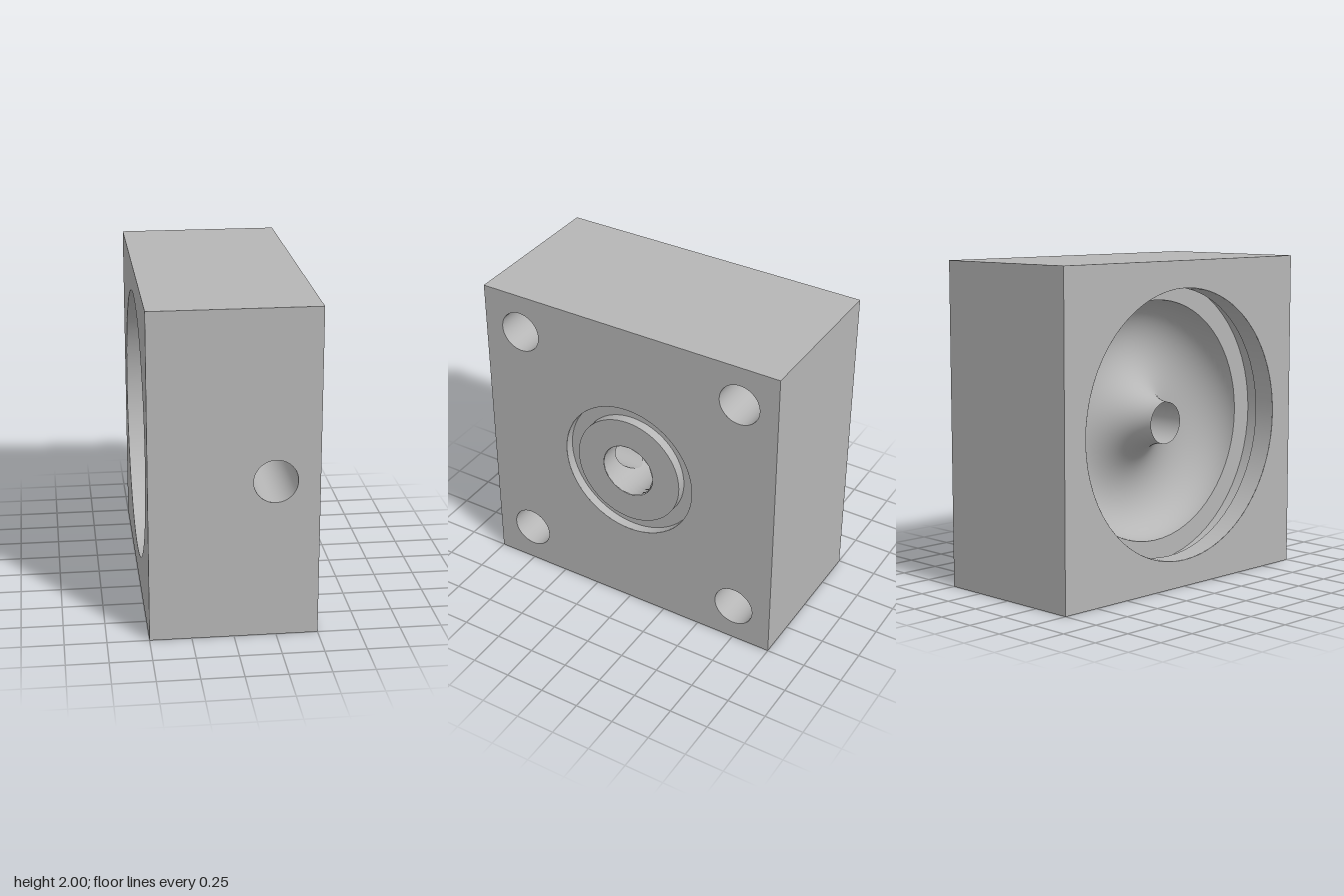
import * as THREE from 'three';
import { ParametricGeometry } from 'three/addons/geometries/ParametricGeometry.js';

const DRILL = 0.13;    // radius of bolt holes, bore and side port
const CHAMBER = 0.175; // radius of the central chamber
const PORT = { x: 0.24, y: -0.03 };

export function createModel() {
  const model = new THREE.Group();
  const block = new THREE.Group();
  block.name = 'housingBlock';
  block.position.y = 1;
  model.add(block);

  const metal = new THREE.MeshStandardMaterial({ color: 0xb6b6b6, side: THREE.DoubleSide });
  metal.name = 'grey metal';

  const add = (name, geometry) => {
    const mesh = new THREE.Mesh(geometry, metal);
    mesh.name = name;
    block.add(mesh);
    return mesh;
  };

  // Flat rectangular face with round holes given as [x, y, radius]
  const face = (name, w, h, holes = []) => {
    const s = new THREE.Shape();
    s.moveTo(-w / 2, -h / 2).lineTo(w / 2, -h / 2).lineTo(w / 2, h / 2).lineTo(-w / 2, h / 2).closePath();
    for (const [x, y, r] of holes) s.holes.push(new THREE.Path().absarc(x, y, r, 0, Math.PI * 2, true));
    return add(name, new THREE.ShapeGeometry(s, 64));
  };

  // Surface turned around the x axis from [radius, x] points
  const turn = (name, pts, y = 0, z = 0) => {
    const g = new THREE.LatheGeometry(pts.map(([r, x]) => new THREE.Vector2(r, x)), 64);
    g.rotateZ(-Math.PI / 2);
    add(name, g).position.set(0, y, z);
  };
  // The same with a sharp edge at every point
  const turnSharp = (name, pts, y, z) => {
    for (let i = 1; i < pts.length; i++) turn(name, [pts[i - 1], pts[i]], y, z);
  };

  // Outer faces
  const bolts = [[-0.75, -0.75], [0.75, -0.75], [0.75, 0.75], [-0.75, 0.75]];
  face('frontFace', 1, 2, [[PORT.x, PORT.y, DRILL]]).position.z = 1;
  const back = face('backFace', 1, 2);
  back.rotation.y = Math.PI;
  back.position.z = -1;
  const top = face('topFace', 1, 2);
  top.rotation.x = -Math.PI / 2;
  top.position.y = 1;
  const bottom = face('bottomFace', 1, 2);
  bottom.rotation.x = Math.PI / 2;
  bottom.position.y = -1;
  const mount = face('mountingFace', 2, 2, [[0, 0, 0.447], ...bolts.map(([z, y]) => [z, y, DRILL])]);
  mount.rotation.y = Math.PI / 2;
  mount.position.x = 0.5;
  const open = face('cavityFace', 2, 2, [[0, 0, 0.834]]);
  open.rotation.y = -Math.PI / 2;
  open.position.x = -0.5;

  // Blind bolt holes with drill points
  for (const [z, y] of bolts) turnSharp('boltHole', [[DRILL, 0.5], [DRILL, 0], [0, -0.075]], y, z);

  // Seal groove and the land inside it
  turnSharp('sealGroove', [[0.447, 0.5], [0.447, 0.44], [0.358, 0.44], [0.358, 0.5], [CHAMBER, 0.5]]);

  // Chamber floor and narrow bore up to the nozzle tip
  turnSharp('bore', [[CHAMBER, 0.05], [DRILL, 0.05], [DRILL, -0.34]]);

  // Counterbore with retaining groove
  turnSharp('counterbore', [[0.834, -0.5], [0.834, -0.36], [0.885, -0.36], [0.885, -0.25], [0.75, -0.25]]);

  // Curved annular dish sweeping from the rim up to the nozzle tip
  const dish = [];
  for (let i = 0; i <= 40; i++) {
    const t = i / 40, a = Math.PI * t;
    dish.push([0.44 - 0.31 * Math.cos(a), -0.34 + 0.09 * t + 0.3 * Math.sin(a)]);
  }
  turn('dish', dish);

  // Side port, ending on the curved chamber wall
  add('sidePort', new ParametricGeometry((u, v, p) => {
    const a = u * Math.PI * 2, y = PORT.y + DRILL * Math.sin(a);
    const inner = Math.sqrt(CHAMBER ** 2 - y * y);
    p.set(PORT.x + DRILL * Math.cos(a), y, 1 + (inner - 1) * v);
  }, 64, 2));

  // Chamber wall, spread from the port opening to its full unrolled rectangle
  add('chamberWall', new ParametricGeometry((u, v, p) => {
    const a = u * Math.PI * 2, c = Math.cos(a), s = Math.sin(a);
    const m = Math.max(Math.abs(c), Math.abs(s));
    const x = THREE.MathUtils.lerp(PORT.x + DRILL * c, 0.275 + 0.225 * c / m, v);
    const phi = THREE.MathUtils.lerp(Math.asin((PORT.y + DRILL * s) / CHAMBER), Math.PI * s / m, v);
    p.set(x, CHAMBER * Math.sin(phi), CHAMBER * Math.cos(phi));
  }, 64, 24));

  return model;
}
